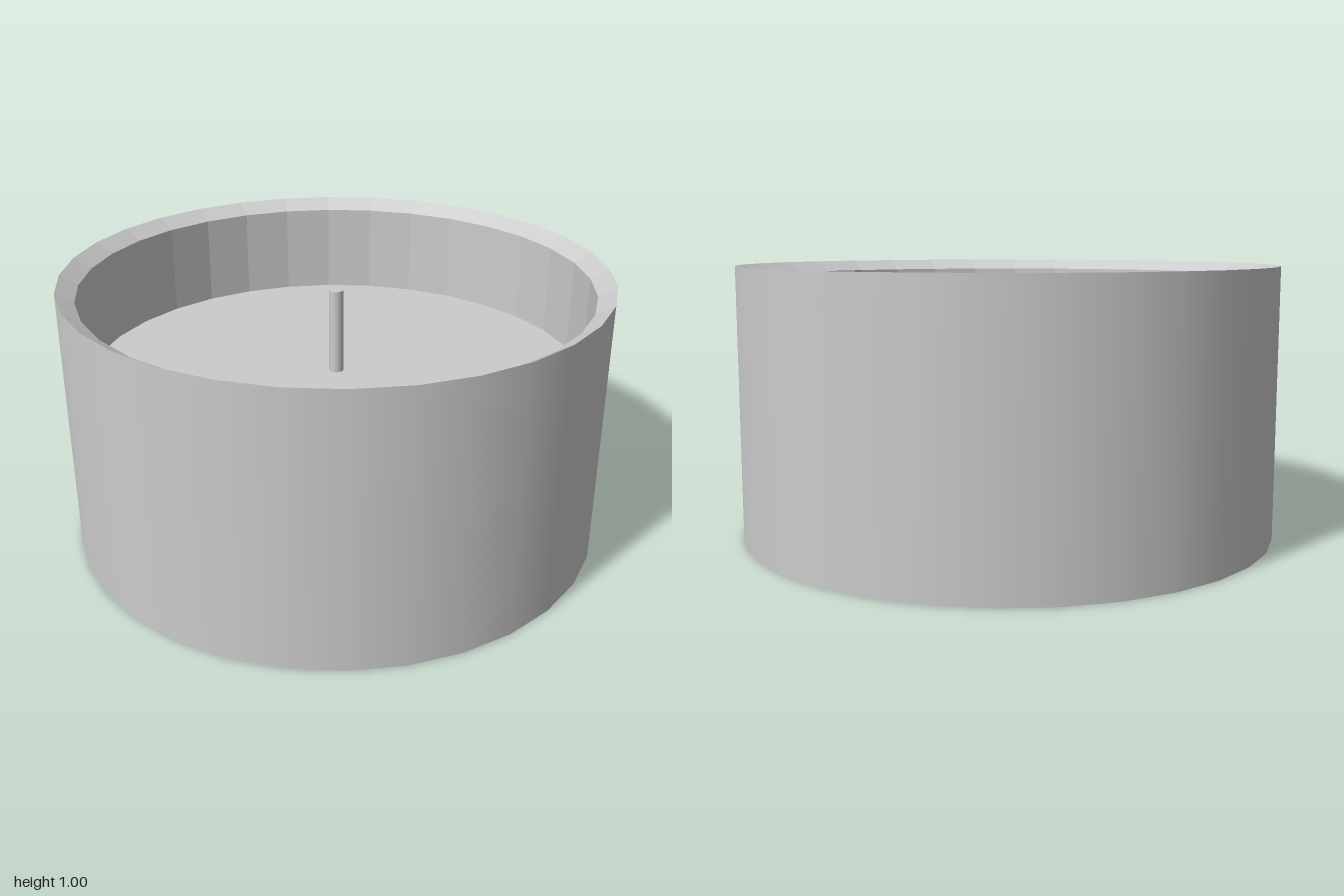
import * as THREE from 'three';

const SEGMENTS = 32;
const INNER = 0.935; // inside radius
const FLOOR = 0.61;  // height of the fill surface

function material(flatShading) {
  return new THREE.MeshStandardMaterial({ color: 0xcccccc, side: THREE.DoubleSide, flatShading });
}

function addPart(group, name, geometry, flat) {
  const mesh = new THREE.Mesh(geometry, material(flat));
  mesh.name = name;
  group.add(mesh);
  return mesh;
}

function revolve(points) {
  return new THREE.LatheGeometry(points.map(([r, y]) => new THREE.Vector2(r, y)), SEGMENTS);
}

export function createModel() {
  const group = new THREE.Group();
  group.name = 'candleCup';

  // Outer wall, open at the bottom
  addPart(group, 'outerWall', revolve([[1, 0], [1, 1]]), false);

  // Rim sloping inwards, then the faceted inner wall
  addPart(group, 'rim', revolve([[1, 1], [INNER, 0.96]]), true);
  addPart(group, 'innerWall', revolve([[INNER, 0.96], [INNER, FLOOR]]), true);

  // Flat wax surface, also visible from below
  const wax = addPart(group, 'waxSurface', new THREE.CircleGeometry(INNER, SEGMENTS), true);
  wax.rotation.x = -Math.PI / 2;
  wax.position.y = FLOOR;

  // Wick standing on the wax
  const wickHeight = 0.32;
  const wick = addPart(group, 'wick', new THREE.CylinderGeometry(0.027, 0.027, wickHeight, 16), false);
  wick.position.y = FLOOR + wickHeight / 2;

  return group;
}
